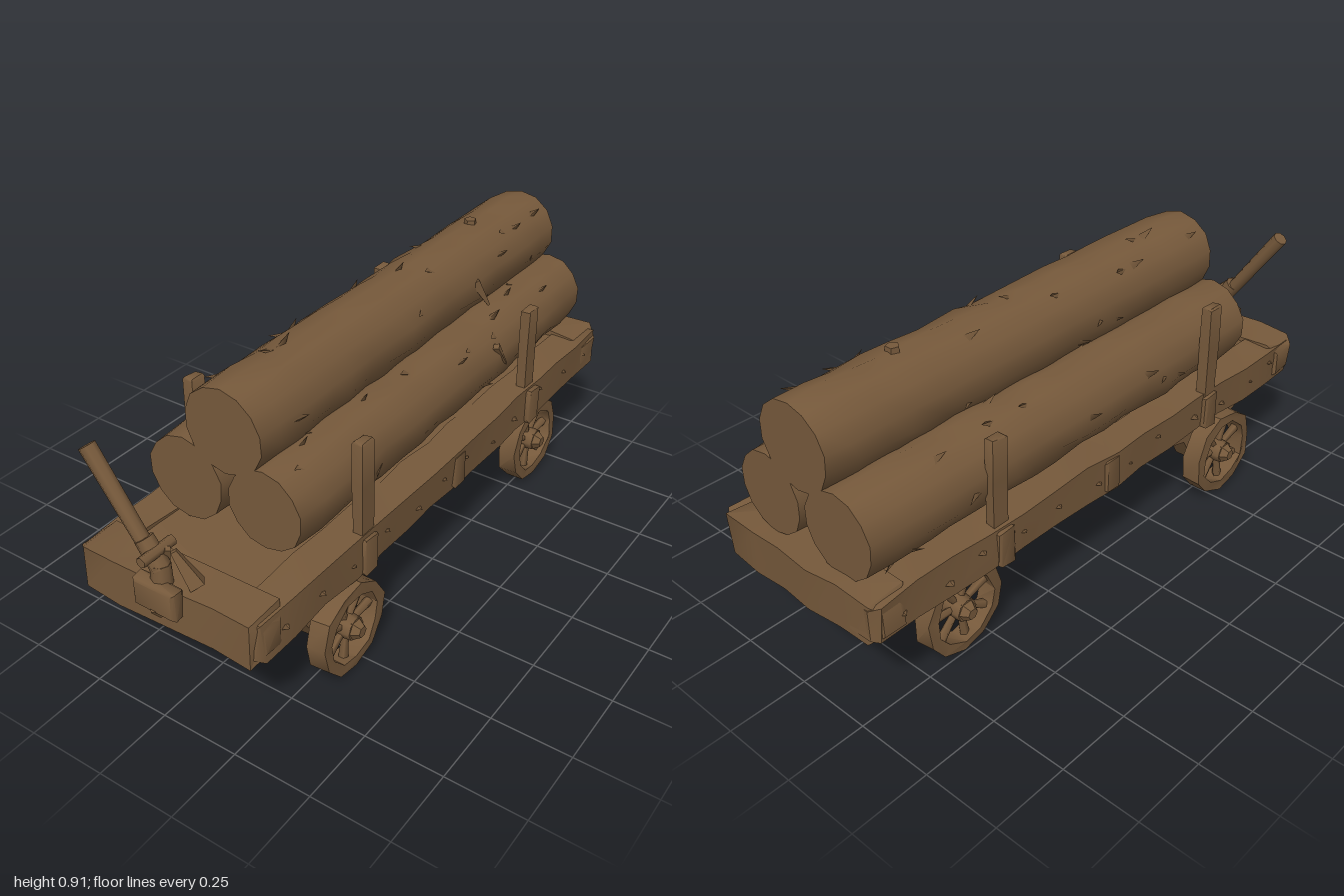
import * as THREE from 'three';
import { toCreasedNormals } from 'three/addons/utils/BufferGeometryUtils.js';

const wood = new THREE.MeshStandardMaterial({ color: 0x76593b });
wood.name = 'weathered brown';
wood.side = THREE.DoubleSide;

// Repeatable value in -1..1 from a position, so coincident corners move together
function noise(x, y, z, k) {
  const r = (v) => Math.round(v * 500);
  const s = Math.sin(r(x) * 12.9898 + r(y) * 78.233 + r(z) * 37.719 + k * 4.137) * 43758.5453;
  return (s - Math.floor(s)) * 2 - 1;
}

function roughen(geo, amp, seed = 1, crease = 0.6) {
  const p = geo.attributes.position;
  for (let i = 0; i < p.count; i++) {
    const x = p.getX(i), y = p.getY(i), z = p.getZ(i);
    p.setXYZ(i, x + amp * noise(x, y, z, seed), y + amp * noise(x, y, z, seed + 7), z + amp * noise(x, y, z, seed + 13));
  }
  return toCreasedNormals(geo, crease);
}

function add(parent, name, geo, x = 0, y = 0, z = 0) {
  const m = new THREE.Mesh(geo, wood);
  m.name = name;
  m.position.set(x, y, z);
  parent.add(m);
  return m;
}

// Hewn timber along z with chamfered edges
function timber(w, h, d, c, steps, amp, seed) {
  const a = w / 2 - c, b = h / 2 - c;
  const s = new THREE.Shape([[-a, -b], [a, -b], [a, b], [-a, b]].map((q) => new THREE.Vector2(...q)));
  const geo = new THREE.ExtrudeGeometry(s, {
    depth: d - 2 * c, steps, bevelEnabled: true, bevelSize: c, bevelThickness: c, bevelSegments: 1,
  });
  geo.translate(0, 0, -d / 2 + c);
  return roughen(geo, amp, seed, 0.8);
}

function rod(parent, name, from, to, r0, r1, sides = 8) {
  const a = new THREE.Vector3(...from), b = new THREE.Vector3(...to), d = b.clone().sub(a);
  const m = add(parent, name, toCreasedNormals(new THREE.CylinderGeometry(r1, r0, d.length(), sides), 0.9));
  m.position.copy(a).add(b).multiplyScalar(0.5);
  m.quaternion.setFromUnitVectors(new THREE.Vector3(0, 1, 0), d.normalize());
  return m;
}

// Log with uneven bark, flat sawn ends and peeling flakes
function log(parent, name, x, y, r, seed) {
  const g = new THREE.Group();
  g.name = name;
  g.position.set(x, y, -0.13);
  const geo = new THREE.CylinderGeometry(r, r, 1.62, 14, 16);
  const p = geo.attributes.position;
  for (let i = 0; i < p.count; i++) {
    const px = p.getX(i), py = p.getY(i), pz = p.getZ(i);
    const end = Math.abs(py) > 0.8;
    const k = 1 + (end ? 0.02 : 0.045) * noise(px, py, pz, seed) - (end ? 0.04 : 0);
    p.setXYZ(i, px * k, py + (end ? 0 : 0.025 * noise(px, py, pz, seed + 3)), pz * k);
  }
  geo.rotateX(Math.PI / 2);
  add(g, 'trunk', toCreasedNormals(geo, 0.9));
  for (let i = 0; i < 22; i++) {
    const a = Math.PI * (0.5 + 0.75 * noise(i, 1, 0, seed));
    const z = -0.76 + (i + 0.5) * 0.069;
    const flake = new THREE.ConeGeometry(0.022, 0.07, 3);
    flake.scale(1, 1, 0.45);
    flake.rotateX(1.15 * (i % 2 ? 1 : -1));
    flake.rotateZ(a - Math.PI / 2);
    add(g, 'barkFlake', flake, Math.cos(a) * r * 0.98, Math.sin(a) * r * 0.98, z);
  }
  parent.add(g);
}

// Spoked wheel; side is +1 or -1 for the outward direction
function wheel(parent, x, z, width, side) {
  const g = new THREE.Group();
  g.name = 'wheel';
  g.position.set(x, 0.157, z);
  const poly = (r, n, T) => {
    const s = new T();
    for (let i = 0; i < n; i++) {
      const a = (i / n) * Math.PI * 2 + 0.2;
      s[i ? 'lineTo' : 'moveTo'](Math.cos(a) * r, Math.sin(a) * r);
    }
    s.closePath();
    return s;
  };
  const ring = poly(0.148, 11, THREE.Shape);
  ring.holes.push(poly(0.113, 11, THREE.Path));
  const rim = new THREE.ExtrudeGeometry(ring, { depth: width, bevelEnabled: false });
  rim.translate(0, 0, -width / 2);
  rim.rotateY(Math.PI / 2);
  add(g, 'rim', roughen(rim, 0.004, 5 + x));
  for (let i = 0; i < 7; i++) {
    const a = (i / 7) * Math.PI * 2 + 0.3;
    const spoke = new THREE.CylinderGeometry(0.016, 0.011, 0.1, 5);
    spoke.translate(0, 0.075, 0);
    add(g, 'spoke', spoke).rotation.x = a;
  }
  rod(g, 'hub', [-side * 0.035, 0, 0], [side * 0.035, 0, 0], 0.042, 0.036);
  rod(g, 'hubCap', [side * 0.03, 0, 0], [side * 0.058, 0, 0], 0.036, 0.018, 6);
  parent.add(g);
}

export function createModel() {
  const model = new THREE.Group();
  model.name = 'logWagon';

  // Flatbed: plate, side rails and end beams
  add(model, 'deckPlate', timber(0.54, 0.1, 1.86, 0.01, 10, 0.004, 2), 0, 0.375, -0.015);
  add(model, 'underPanel', new THREE.BoxGeometry(0.5, 0.04, 1.5), -0.01, 0.312, 0);
  for (const s of [-1, 1]) {
    add(model, 'sideRail', timber(0.11, 0.125, 1.92, 0.018, 14, 0.007, 4 + s), s * 0.257, 0.372, -0.015);
    add(model, 'railClamp', timber(0.04, 0.11, 0.07, 0.008, 1, 0.002, 9), s * 0.3, 0.365, -0.035);
    for (let i = 0; i < 12; i++) {
      const splinter = new THREE.ConeGeometry(0.03, 0.04, 4);
      splinter.rotateZ(-s * Math.PI / 2);
      splinter.scale(1, 0.6, 1.2);
      add(model, 'splinter', splinter, s * 0.306, 0.375 + 0.025 * noise(i, s, 2, 3), -0.87 + i * 0.155 + 0.03 * noise(i, s, 0, 1));
    }
  }
  add(model, 'frontBeam', timber(0.13, 0.14, 0.63, 0.03, 5, 0.007, 21).rotateY(Math.PI / 2), 0, 0.37, 0.89);
  add(model, 'rearBeam', timber(0.13, 0.14, 0.63, 0.03, 5, 0.008, 33).rotateY(Math.PI / 2), 0, 0.372, -0.92);

  // Stakes holding the load, each in a socket
  for (const [x, z, top] of [[0.296, 0.46, 0.737], [0.284, -0.5, 0.712]]) {
    for (const s of [-1, 1]) {
      const h = top - 0.315;
      add(model, 'stake', timber(0.034, 0.055, h, 0.005, 3, 0.002, 8).rotateX(Math.PI / 2), s * x, 0.315 + h / 2, z);
      add(model, 'stakeSocket', timber(0.05, 0.12, 0.065, 0.008, 1, 0.003, 6), s * 0.302, 0.365, z);
    }
  }

  // Load of three logs
  log(model, 'lowerRightLog', -0.148, 0.565, 0.136, 11);
  log(model, 'lowerLeftLog', 0.128, 0.565, 0.13, 23);
  log(model, 'topLog', 0, 0.768, 0.137, 37);
  rod(model, 'branchStub', [0, 0.87, -0.59], [0, 0.918, -0.59], 0.024, 0.02, 5);
  rod(model, 'barkStrip', [0.125, 0.8, -0.41], [0.16, 0.71, -0.45], 0.02, 0.006, 4);
  rod(model, 'barkStrip', [0.25, 0.63, -0.35], [0.262, 0.55, -0.4], 0.014, 0.004, 4);

  // Running gear: axles, hangers and wheels
  const hanger = new THREE.Shape([
    [-0.22, 0.315], [-0.22, 0.245], [-0.12, 0.215], [-0.06, 0.12], [0.06, 0.12],
    [0.12, 0.215], [0.22, 0.245], [0.22, 0.315],
  ].map((q) => new THREE.Vector2(...q)));
  for (const [z, left, right, width] of [[0.55, 0.298, -0.298, 0.064], [-0.6, 0.262, -0.22, 0.06]]) {
    rod(model, 'axle', [right, 0.152, z], [left, 0.152, z], 0.027, 0.027);
    wheel(model, left, z, width, 1);
    wheel(model, right, z, width, -1);
    for (const x of [left - 0.085, right + 0.085]) {
      const geo = new THREE.ExtrudeGeometry(hanger, { depth: 0.07, bevelEnabled: false });
      geo.translate(0, 0, -0.035);
      geo.rotateY(Math.PI / 2);
      add(model, 'axleHanger', roughen(geo, 0.004, 3), x, 0, z);
    }
  }
  add(model, 'brakeBlock', timber(0.06, 0.07, 0.04, 0.006, 1, 0.002, 2), -0.2, 0.28, 0.85);

  // Brake lever on the front beam
  rod(model, 'lever', [-0.03, 0.5, 0.94], [-0.23, 0.785, 0.94], 0.022, 0.025);
  rod(model, 'leverSleeve', [-0.01, 0.485, 0.94], [-0.062, 0.56, 0.94], 0.03, 0.028);
  rod(model, 'leverFoot', [-0.008, 0.4, 0.945], [-0.012, 0.5, 0.94], 0.032, 0.028);
  add(model, 'leverMount', timber(0.145, 0.09, 0.05, 0.01, 1, 0.003, 4), -0.005, 0.41, 0.965);
  rod(model, 'mountPoint', [-0.005, 0.38, 0.97], [-0.005, 0.338, 0.965], 0.03, 0.004, 4);
  add(model, 'pivotBolt', new THREE.CylinderGeometry(0.016, 0.016, 0.12, 6).rotateX(Math.PI / 2), -0.02, 0.535, 0.94);
  rod(model, 'ratchet', [-0.05, 0.44, 0.9], [0.0, 0.54, 0.92], 0.03, 0.01, 4);
  rod(model, 'ratchet', [0.075, 0.44, 0.9], [0.02, 0.54, 0.92], 0.03, 0.012, 4);
  return model;
}
